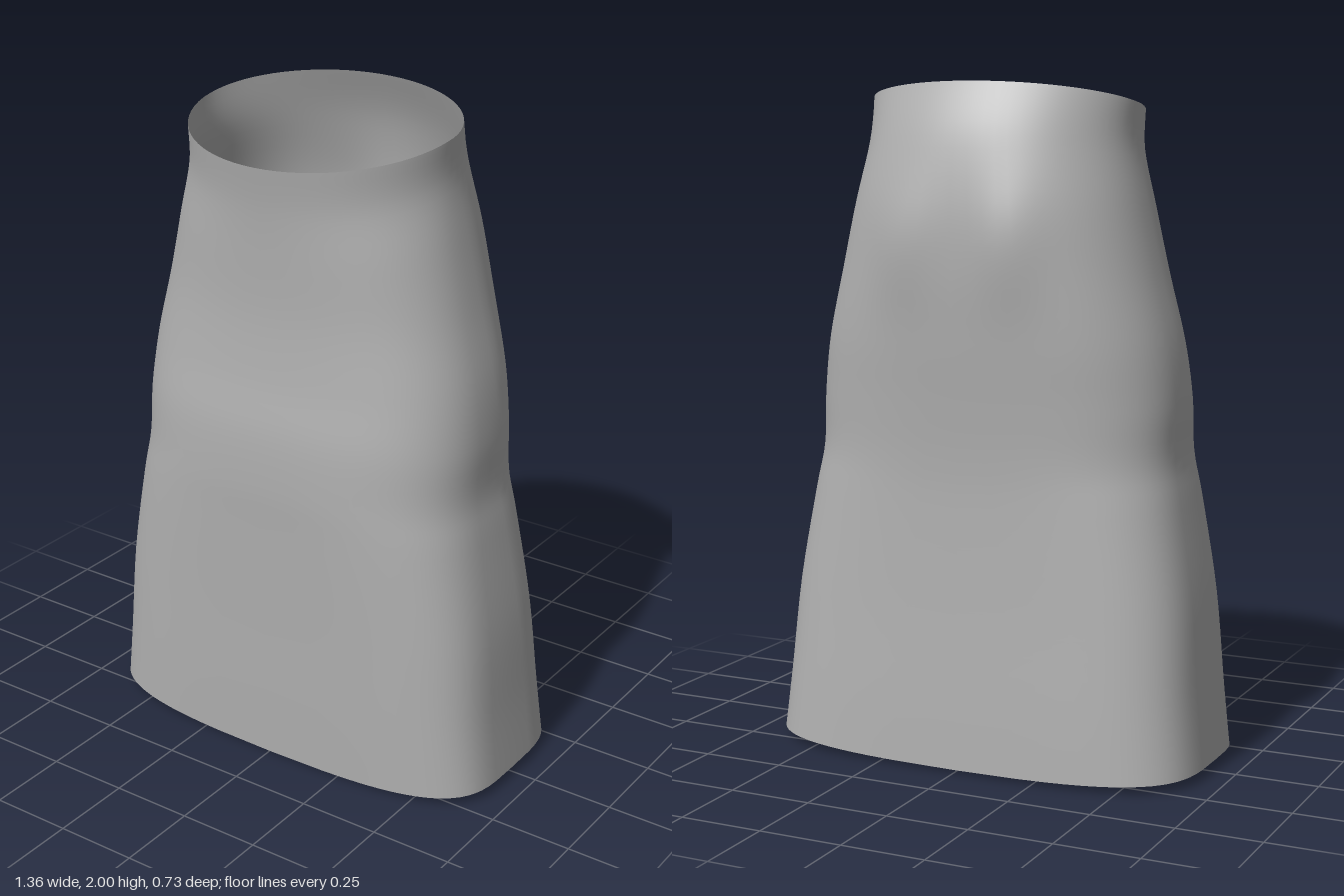
import * as THREE from 'three';

const fabric = new THREE.MeshStandardMaterial({ color: 0xb0b0b0, side: THREE.DoubleSide });
fabric.name = 'grey fabric';

// Cross-sections, hem to waist:
// y at side, y at front, y at back, half width, z front, z back, squareness
const SECTIONS = [
  [0.03, 0.00, 0.01, 0.680, 0.330, -0.345, 4.0],
  [0.22, 0.20, 0.20, 0.660, 0.338, -0.336, 3.8],
  [0.50, 0.48, 0.48, 0.635, 0.347, -0.320, 3.5],
  [0.78, 0.77, 0.77, 0.590, 0.360, -0.311, 3.1],
  [0.92, 0.92, 0.92, 0.566, 0.367, -0.313, 2.8],
  [1.08, 1.08, 1.08, 0.564, 0.364, -0.324, 2.6],
  [1.25, 1.24, 1.26, 0.543, 0.345, -0.340, 2.5],
  [1.45, 1.42, 1.46, 0.495, 0.334, -0.352, 2.4],
  [1.65, 1.60, 1.66, 0.450, 0.338, -0.349, 2.3],
  [1.82, 1.75, 1.85, 0.416, 0.348, -0.316, 2.1],
  [1.94, 1.87, 2.00, 0.418, 0.365, -0.257, 2.0],
];

// Smooth interpolation of a whole section, t from 0 to 1
function sectionAt(t) {
  const last = SECTIONS.length - 1;
  const i = Math.min(Math.floor(t * last), last - 1);
  const f = t * last - i;
  const [a, b, c, d] = [-1, 0, 1, 2].map(k => SECTIONS[THREE.MathUtils.clamp(i + k, 0, last)]);
  return b.map((p, k) => p + 0.5 * f * (c[k] - a[k]
    + f * (2 * a[k] - 5 * p + 4 * c[k] - d[k] + f * (3 * (p - c[k]) + d[k] - a[k]))));
}

// Open tube lofted through the sections
function makeSkirt(rows, segments) {
  const positions = [], indices = [];
  const centreZ = 0.02;
  for (let j = 0; j <= rows; j++) {
    const t = j / rows;
    const [ySide, yFront, yBack, width, zFront, zBack, n] = sectionAt(t);
    for (let i = 0; i < segments; i++) {
      const angle = i / segments * Math.PI * 2;
      const c = Math.cos(angle), s = Math.sin(angle);
      const u = Math.sign(c) * Math.abs(c) ** (2 / n);
      const v = Math.abs(s) ** (2 / n);
      const front = s > 0;
      const x = u * width;
      let z = centreZ + v * ((front ? zFront : zBack) - centreZ);
      // Curved hem and slanted waist
      const w = Math.max(0, 1 - u * u) ** (1 - 0.45 * t);
      const y = ySide + w * ((front ? yFront : yBack) - ySide);
      // Two soft swells at the back
      if (!front) z -= 0.02 * v * Math.exp(-(((Math.abs(x) - 0.17) / 0.1) ** 2) - ((y - 1.55) / 0.17) ** 2);
      positions.push(x, y, z);
      if (j < rows) {
        const a = j * segments + i, b = j * segments + (i + 1) % segments;
        indices.push(a, a + segments, b, b, a + segments, b + segments);
      }
    }
  }
  const geometry = new THREE.BufferGeometry();
  geometry.setAttribute('position', new THREE.Float32BufferAttribute(positions, 3));
  geometry.setIndex(indices);
  geometry.computeVertexNormals();
  return geometry;
}

export function createModel() {
  const group = new THREE.Group();
  group.name = 'skirt';
  const skirt = new THREE.Mesh(makeSkirt(50, 72), fabric);
  skirt.name = 'skirtShell';
  group.add(skirt);
  return group;
}
